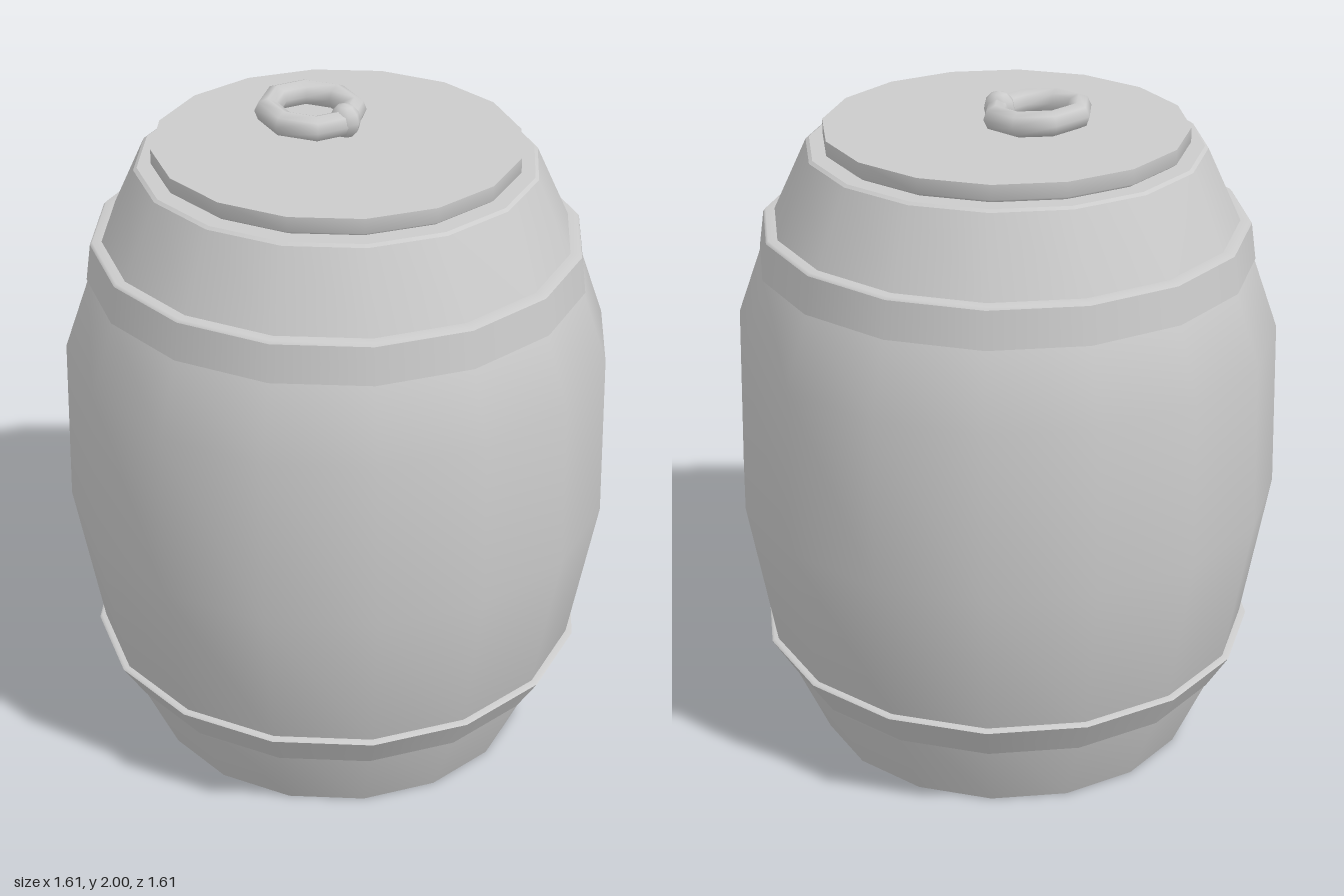
import * as THREE from 'three';

const SIDES = 16;
const material = new THREE.MeshStandardMaterial({ color: 0xcccccc, side: THREE.DoubleSide });

export function createModel() {
  const group = new THREE.Group();

  const add = (name, geometry, x = 0, y = 0, z = 0) => {
    const mesh = new THREE.Mesh(geometry, material);
    mesh.name = name;
    mesh.position.set(x, y, z);
    group.add(mesh);
    return mesh;
  };

  // Surface of revolution from [radius, height] pairs, listed bottom to top
  const turned = (name, profile) =>
    add(name, new THREE.LatheGeometry(profile.map(([r, y]) => new THREE.Vector2(r, y)), SIDES));

  // Flat polygonal end, facing up or down
  const disc = (name, radius, y, up = true) => {
    const geometry = new THREE.CircleGeometry(radius, SIDES);
    geometry.rotateX(up ? -Math.PI / 2 : Math.PI / 2);
    return add(name, geometry, 0, y, 0);
  };

  // Bulging body with its two ends
  turned('body', [[0.575, 0], [0.725, 0.34], [0.805, 0.8], [0.792, 1.3],
    [0.718, 1.51], [0.672, 1.63], [0.575, 1.84]]);
  turned('topRim', [[0.575, 1.84], [0.565, 1.847]]);
  disc('bodyTop', 0.565, 1.847);
  disc('bodyBottom', 0.575, 0, false);

  // Hoops, each with a flat ledge on its upper edge
  turned('lowerHoop', [[0.677, 0.225], [0.745, 0.337]]);
  turned('lowerHoopLedge', [[0.745, 0.337], [0.738, 0.343], [0.715, 0.343]]);
  turned('upperHoop', [[0.722, 1.51], [0.707, 1.618]]);
  turned('upperHoopLedge', [[0.707, 1.618], [0.7, 1.626], [0.665, 1.626]]);

  // Lid
  turned('lidEdge', [[0.51, 1.846], [0.525, 1.857], [0.525, 1.9]]);
  disc('lidTop', 0.525, 1.9);

  // Ring handle, resting at a slight tilt
  const ringGeometry = new THREE.TorusGeometry(0.123, 0.037, 8, 8);
  ringGeometry.rotateX(Math.PI / 2);
  const ring = add('ringHandle', ringGeometry, -0.11, 1.953, -0.02);
  ring.rotation.z = -0.06;

  // Small loop that holds the ring to the lid
  const loop = add('handleLoop', new THREE.SphereGeometry(0.05, 8, 6), 0.008, 1.95, -0.025);
  loop.scale.set(0.95, 1, 0.8);

  return group;
}
